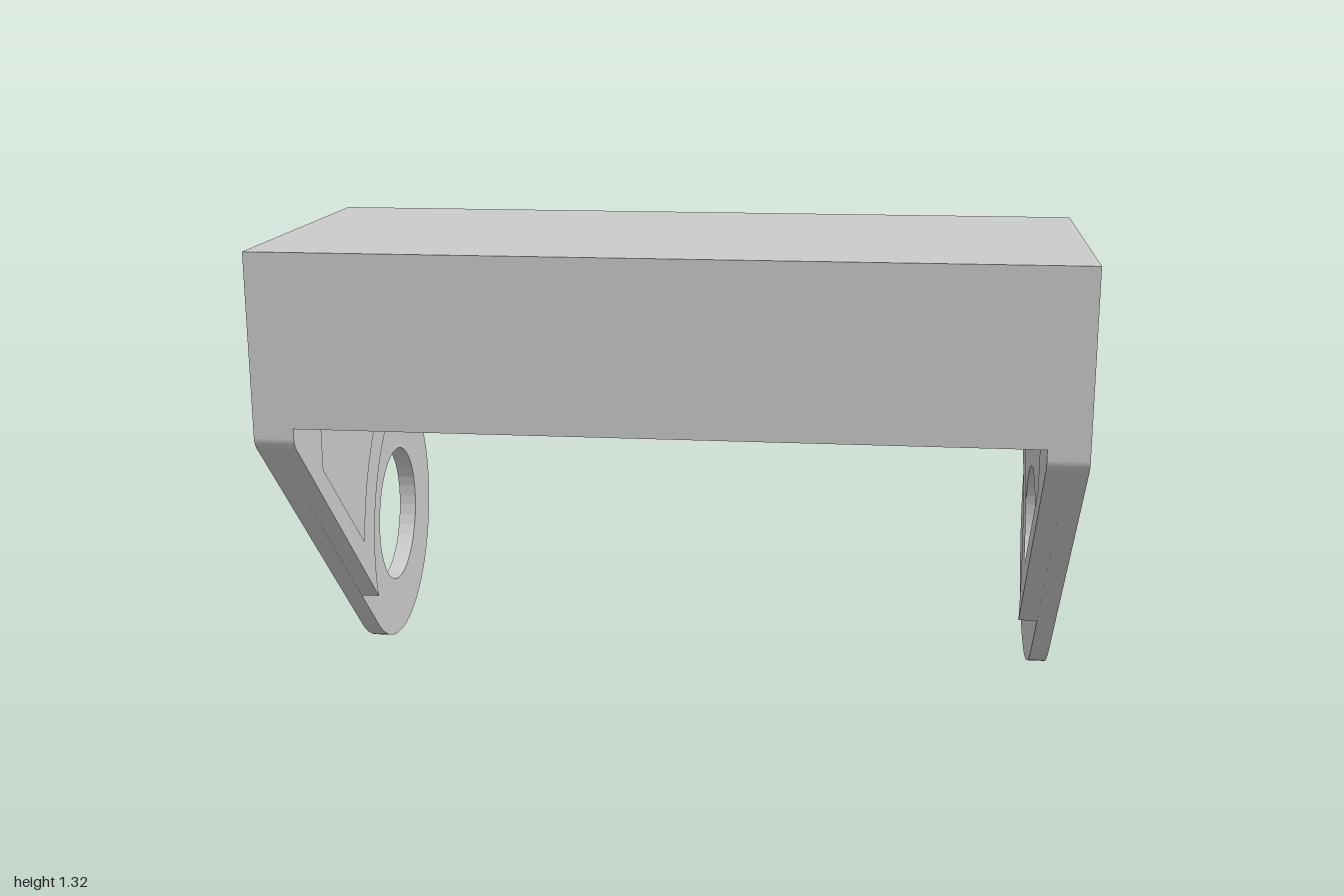
import * as THREE from 'three';

const material = new THREE.MeshStandardMaterial({ color: 0xcccccc });
const RAD = Math.PI / 180;
const PIVOT = [0.34, 0.375]; // eye centre as (-z, y)
const R = 0.37;              // rounded end of the arm

// Side outlines are drawn in (-z, y); upper part is shared by both layers
function startOutline() {
  const s = new THREE.Shape();
  s.moveTo(-0.71, 0.875);
  s.lineTo(-0.71, 1.33);
  s.lineTo(0.145, 1.33);
  s.lineTo(0.145, 1.25);
  s.quadraticCurveTo(0.145, 1.23, 0.165, 1.205);
  return s;
}

function closeOutline(s) {
  s.lineTo(-0.685, 0.835);
  s.quadraticCurveTo(-0.71, 0.855, -0.71, 0.875);
  return s;
}

// Outer layer: whole arm with the round eye
function outerPlate() {
  const s = startOutline();
  s.absarc(...PIVOT, R, 38 * RAD, -133.5 * RAD, true);
  closeOutline(s);
  const eye = new THREE.Path();
  eye.absarc(...PIVOT, 0.2, 0, Math.PI * 2, false);
  s.holes.push(eye);
  return s;
}

// Inner layer: cut back around the eye, with a recessed panel
function innerPlate() {
  const s = startOutline();
  s.absarc(...PIVOT, 0.425, 67.5 * RAD, 197 * RAD, false);
  closeOutline(s);
  const pocket = new THREE.Path();
  pocket.moveTo(-0.5, 0.74);
  pocket.lineTo(-0.5, 1.11);
  pocket.lineTo(0.19, 1.11);
  pocket.lineTo(0.35, 0.905);
  pocket.absarc(...PIVOT, 0.525, 89 * RAD, 172 * RAD, false);
  pocket.lineTo(-0.5, 0.74);
  s.holes.push(pocket);
  return s;
}

// Rectangle with a rectangular opening
function frameShape(w, a0, a1, openW, b0, b1) {
  const rect = (p, hw, lo, hi) => p.moveTo(-hw, lo).lineTo(hw, lo).lineTo(hw, hi).lineTo(-hw, hi).closePath();
  const s = new THREE.Shape();
  rect(s, w / 2, a0, a1);
  const hole = new THREE.Path();
  rect(hole, openW / 2, b0, b1);
  s.holes.push(hole);
  return s;
}

const extrude = (shape, depth) =>
  new THREE.ExtrudeGeometry(shape, { depth, bevelEnabled: false, curveSegments: 20 });

export function createModel() {
  const model = new THREE.Group();
  model.name = 'bracket';
  const add = (name, geometry, parent = model) => {
    const mesh = new THREE.Mesh(geometry, material);
    mesh.name = name;
    parent.add(mesh);
  };
  const box = (name, w, y0, y1, z0, z1) =>
    add(name, new THREE.BoxGeometry(w, y1 - y0, z1 - z0).translate(0, (y0 + y1) / 2, (z0 + z1) / 2));

  // Side arms, two layers each
  for (const [side, outerX, innerX] of [['left', 0.95, 0.9], ['right', -1, -0.95]]) {
    const arm = new THREE.Group();
    arm.name = side + 'Arm';
    add('outerPlate', extrude(outerPlate(), 0.05).rotateY(Math.PI / 2).translate(outerX, 0, 0), arm);
    add('innerPlate', extrude(innerPlate(), 0.05).rotateY(Math.PI / 2).translate(innerX, 0, 0), arm);
    model.add(arm);
  }

  // Cover between the arms
  box('topPanel', 1.8, 1.28, 1.33, -0.145, 0.71);
  box('frontPanel', 1.8, 0.9, 1.28, 0.66, 0.71);
  box('backLip', 1.8, 1.15, 1.28, -0.145, -0.045);

  // Raised frames on the inside of the cover
  add('topFrame', extrude(frameShape(1.8, -0.66, 0.045, 1.6, -0.59, 0.0), 0.05)
    .rotateX(-Math.PI / 2).translate(0, 1.23, 0));
  add('frontFrame', extrude(frameShape(1.8, 0.9, 1.23, 1.6, 0.95, 1.18), 0.05)
    .translate(0, 0, 0.61));

  return model;
}
